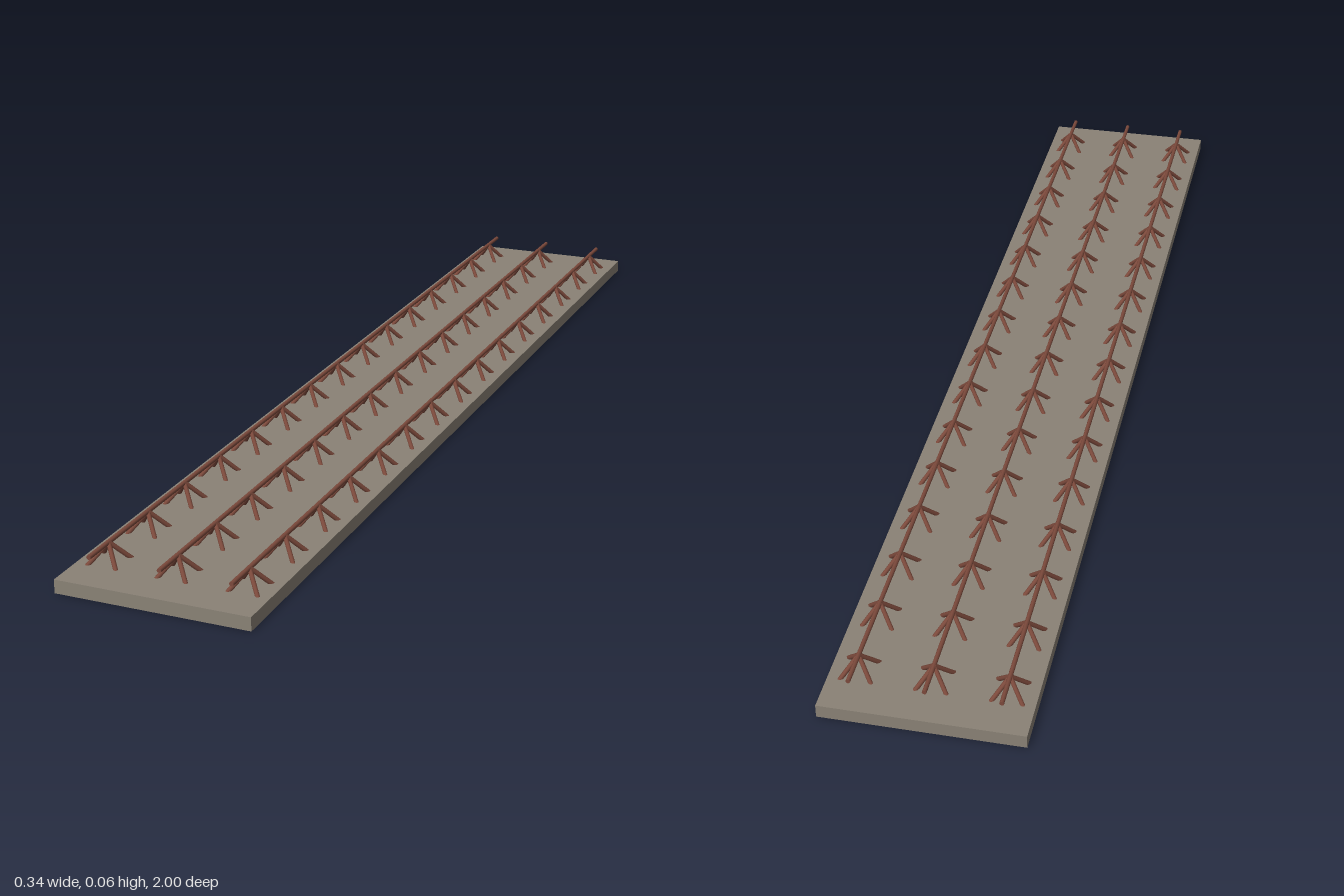
import * as THREE from 'three';

const SLAB = { width: 0.344, height: 0.024, length: 2 };
const CHORD_Y = 0.057, CHORD_LENGTH = 1.94, ROD_RADIUS = 0.004;
const GIRDER_X = [-0.125, 0, 0.125];
const APEX_COUNT = 15, APEX_PITCH = 0.1296;
const FOOT_SPREAD = 0.032, FOOT_Y = 0.014;

const concrete = new THREE.MeshStandardMaterial({ color: 0x8a8276 });
const rust = new THREE.MeshStandardMaterial({ color: 0x7d4a3c });

// Round bar between two points
function bar(name, from, to) {
  const dir = to.clone().sub(from);
  const mesh = new THREE.Mesh(
    new THREE.CylinderGeometry(ROD_RADIUS, ROD_RADIUS, dir.length(), 8), rust);
  mesh.name = name;
  mesh.position.copy(from).add(to).multiplyScalar(0.5);
  mesh.quaternion.setFromUnitVectors(new THREE.Vector3(0, 1, 0), dir.normalize());
  return mesh;
}

// Lattice girder: a top chord carried by four-legged supports set into the slab
function latticeGirder() {
  const girder = new THREE.Group();
  girder.name = 'latticeGirder';
  girder.add(bar('topChord',
    new THREE.Vector3(0, CHORD_Y, -CHORD_LENGTH / 2),
    new THREE.Vector3(0, CHORD_Y, CHORD_LENGTH / 2)));

  for (let i = 0; i < APEX_COUNT; i++) {
    const z = (i - (APEX_COUNT - 1) / 2) * APEX_PITCH;
    const apex = new THREE.Vector3(0, CHORD_Y, z);
    for (const sx of [-1, 1]) {
      for (const sz of [-1, 1]) {
        const foot = new THREE.Vector3(sx * FOOT_SPREAD, FOOT_Y, z + sz * FOOT_SPREAD);
        girder.add(bar('diagonalLeg', foot, apex));
      }
    }
  }
  return girder;
}

export function createModel() {
  const model = new THREE.Group();
  model.name = 'latticeGirderSlab';

  // Concrete plank
  const slab = new THREE.Mesh(
    new THREE.BoxGeometry(SLAB.width, SLAB.height, SLAB.length), concrete);
  slab.name = 'slab';
  slab.position.y = SLAB.height / 2;
  model.add(slab);

  // Three parallel girders
  for (const x of GIRDER_X) {
    const girder = latticeGirder();
    girder.position.x = x;
    model.add(girder);
  }
  return model;
}
